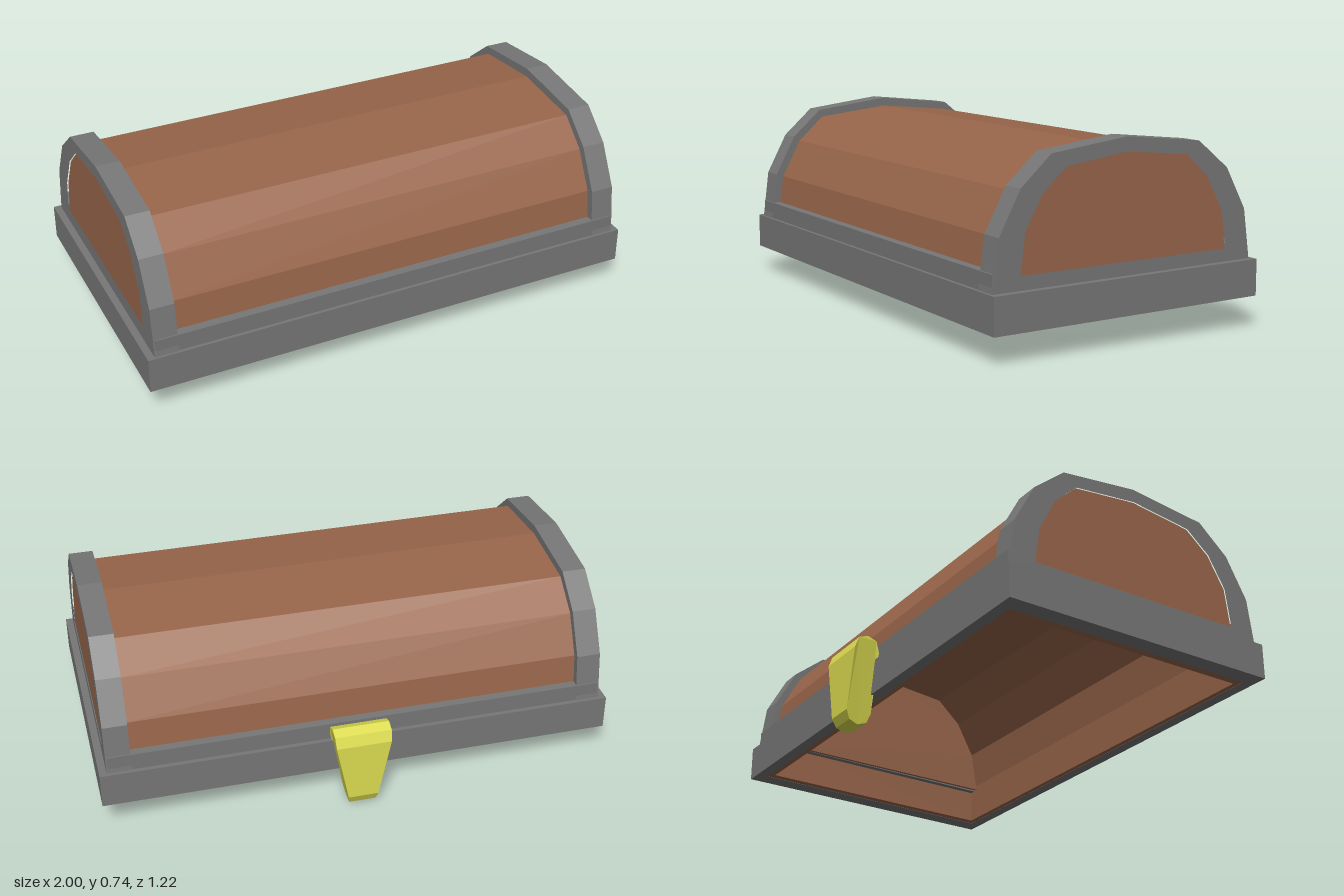
import * as THREE from 'three';

const GREY = 0x777777, WOOD = 0x98654a, BRASS = 0xdcdc50;
const TILT = -0.0151; // the lid rises slightly towards the back

// Profiles as [z, y], running from front to back over the top
const ARCH = [[0.6, 0.245], [0.575, 0.435], [0.49, 0.595], [0.368, 0.705], [0.055, 0.745],
  [-0.26, 0.712], [-0.39, 0.607], [-0.475, 0.45], [-0.502, 0.26]];
const PANEL = [[0.49, 0.297], [0.47, 0.45], [0.4, 0.575], [0.305, 0.657], [0.055, 0.692],
  [-0.205, 0.667], [-0.3, 0.582], [-0.37, 0.45], [-0.392, 0.308]];
const BARREL = [[0.572, 0.25], [0.545, 0.425], [0.465, 0.575], [0.357, 0.675], [0.055, 0.71],
  [-0.245, 0.682], [-0.368, 0.587], [-0.447, 0.44], [-0.475, 0.26]];
const CLASP = [[-0.506, 0.29], [-0.52, 0.333], [-0.556, 0.347], [-0.594, 0.333], [-0.61, 0.29],
  [-0.61, 0.05], [-0.594, 0.015], [-0.558, 0.002], [-0.522, 0.015], [-0.508, 0.05]];
const INNER = BARREL.map(([z, y]) => [0.05 + (z - 0.05) * 0.955, 0.25 + (y - 0.25) * 0.94]);

function part(name, geometry, color) {
  const material = new THREE.MeshStandardMaterial({ color, flatShading: true });
  const mesh = new THREE.Mesh(geometry, material);
  mesh.name = name;
  return mesh;
}

const points = (profile) => profile.map(([z, y]) => new THREE.Vector2(-z, y));

// Extrude a side profile along x between x0 and x1
function sideways(profile, x0, x1, hole) {
  const shape = new THREE.Shape(points(profile));
  if (hole) shape.holes.push(new THREE.Path(points(hole)));
  const g = new THREE.ExtrudeGeometry(shape, { depth: x1 - x0, bevelEnabled: false });
  return g.rotateY(Math.PI / 2).translate(x0, 0, 0);
}

// Rectangular frame lying flat; outer and inner are [half width, front z, back z]
function flatFrame(outer, inner, bottom, height) {
  const corners = ([w, f, b]) => [[-w, -f], [w, -f], [w, -b], [-w, -b]].map((p) => new THREE.Vector2(...p));
  const shape = new THREE.Shape(corners(outer));
  shape.holes.push(new THREE.Path(corners(inner)));
  const g = new THREE.ExtrudeGeometry(shape, { depth: height, bevelEnabled: false });
  g.rotateX(-Math.PI / 2).translate(0, bottom, 0);
  const p = g.attributes.position;
  for (let i = 0; i < p.count; i++) p.setY(i, p.getY(i) + TILT * p.getZ(i));
  g.computeVertexNormals();
  return g;
}

export function createModel() {
  const lid = new THREE.Group();
  lid.name = 'chestLid';

  // Metal rim, the curb above it and the wooden lining inside
  lid.add(part('rim', flatFrame([1, 0.61, -0.517], [0.93, 0.565, -0.47], 0.117, 0.138), GREY));
  lid.add(part('curb', flatFrame([0.965, 0.597, -0.499], [0.875, 0.556, -0.462], 0.252, 0.07), GREY));
  lid.add(part('lining', flatFrame([0.935, 0.57, -0.475], [0.9, 0.545, -0.45], 0.118, 0.155), WOOD));

  // Hollow wooden barrel top
  lid.add(part('barrel', sideways([...BARREL, ...[...INNER].reverse()], -0.885, 0.885), WOOD));

  // Arched end bands with wooden panels
  for (const [side, s] of [['left', 1], ['right', -1]]) {
    const span = (a, b) => (s > 0 ? [a, b] : [-b, -a]);
    lid.add(part(side + 'EndBand', sideways(ARCH, ...span(0.878, 0.972), PANEL), GREY));
    lid.add(part(side + 'EndPanel', sideways(PANEL, ...span(0.88, 0.967)), WOOD));
    lid.add(part(side + 'InnerPanel', sideways(INNER, ...span(0.862, 0.882)), WOOD));
  }

  // Tapered clasp on the back
  const clasp = sideways(CLASP, -1, 1);
  const p = clasp.attributes.position;
  for (let i = 0; i < p.count; i++) {
    const half = Math.min(0.11, 0.049 + 0.2 * p.getY(i));
    p.setX(i, 0.015 + p.getX(i) * half);
  }
  clasp.computeVertexNormals();
  lid.add(part('clasp', clasp, BRASS));

  return lid;
}
